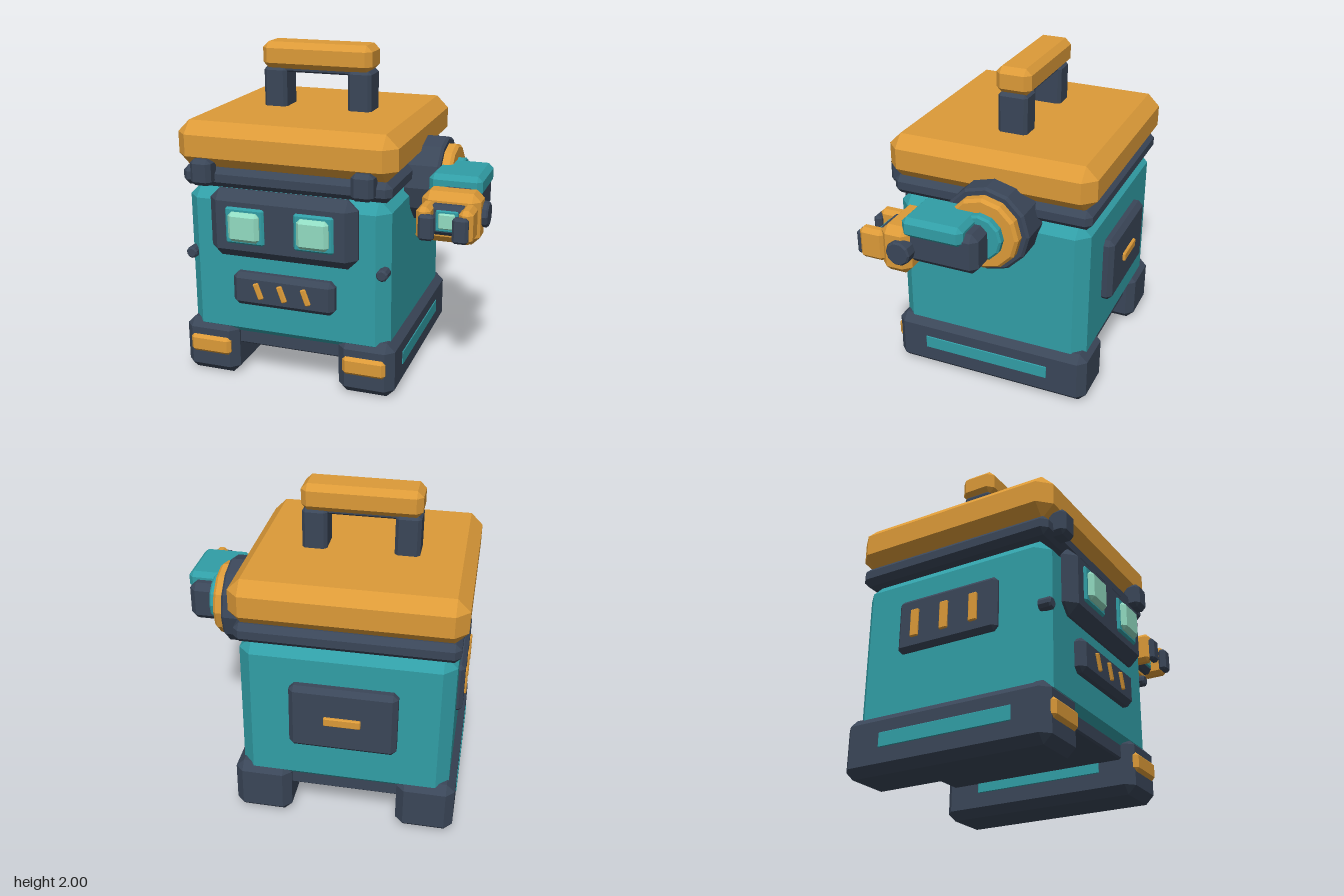
import * as THREE from 'three';
import { ConvexGeometry } from 'three/addons/geometries/ConvexGeometry.js';

const flat = (name, color) => {
  const m = new THREE.MeshStandardMaterial({ color });
  m.name = name;
  return m;
};

// Box with chamfered edges and cut corners
function chamferBox(w, h, d, c) {
  const pts = [];
  const [a, b, e] = [w / 2, h / 2, d / 2];
  for (const x of [-1, 1]) for (const y of [-1, 1]) for (const z of [-1, 1]) {
    pts.push(
      new THREE.Vector3(x * a, y * (b - c), z * (e - c)),
      new THREE.Vector3(x * (a - c), y * b, z * (e - c)),
      new THREE.Vector3(x * (a - c), y * (b - c), z * e));
  }
  return new ConvexGeometry(pts);
}

// Faceted disc from y = 0 to y = h with a bevelled outer rim
function bevelDisc(r, h, bevel, sides) {
  const profile = [[0, 0], [r, 0], [r, h - bevel], [r - bevel, h], [0, h]];
  const g = new THREE.LatheGeometry(profile.map(p => new THREE.Vector2(...p)), sides).toNonIndexed();
  g.computeVertexNormals();
  return g;
}

export function createModel() {
  const model = new THREE.Group();
  model.name = 'toolboxRobot';
  const orange = flat('orange', 0xdc9a38);
  const teal = flat('teal', 0x319ea6);
  const dark = flat('darkSlate', 0x3a4658);
  const mint = flat('mintGlow', 0x92dcc2);
  const MID = -0.235; // centre line of the body

  const add = (name, geometry, material, x, y, z, parent = model) => {
    const m = new THREE.Mesh(geometry, material);
    m.name = name;
    m.position.set(x, y, z);
    parent.add(m);
    return m;
  };
  // Box given by its extents on each axis
  const box = (name, mat, [x0, x1], [y0, y1], [z0, z1], c, parent) =>
    add(name, chamferBox(x1 - x0, y1 - y0, z1 - z0, c), mat,
      (x0 + x1) / 2, (y0 + y1) / 2, (z0 + z1) / 2, parent);
  // The same box on both sides of a centre line
  const pair = (name, mat, [x0, x1], y, z, c, mid = MID, parent = model) => {
    box(name + 'Left', mat, [x0, x1], y, z, c, parent);
    box(name + 'Right', mat, [2 * mid - x1, 2 * mid - x0], y, z, c, parent);
  };

  // Body, underside, gasket and lid
  box('body', teal, [-0.87, 0.4], [0.25, 1.21], [-0.64, 0.6], 0.075);
  box('underside', dark, [-0.7, 0.23], [0.2, 0.3], [-0.6, 0.56], 0.01);
  box('gasket', dark, [-0.885, 0.415], [1.21, 1.33], [-0.66, 0.61], 0.035);
  box('lid', orange, [-0.915, 0.445], [1.32, 1.6], [-0.68, 0.637], 0.075);
  pair('latch', dark, [0.195, 0.328], [1.23, 1.39], [0.56, 0.68], 0.025);

  // Carrying handle
  pair('handlePost', dark, [-0.035, 0.115], [1.57, 1.845], [-0.14, 0.047], 0.02);
  box('handleCore', dark, [-0.46, -0.01], [1.815, 1.86], [-0.12, 0.03], 0.01);
  box('handleGrip', orange, [-0.59, 0.12], [1.835, 2], [-0.16, 0.065], 0.037);

  // Skids with toe pads and side stripes
  pair('skid', dark, [0.09, 0.442], [0, 0.345], [-0.67, 0.625], 0.05);
  pair('toePad', orange, [0.13, 0.397], [0.135, 0.25], [0.57, 0.645], 0.02);
  pair('skidStripe', teal, [0.085, 0.447], [0.14, 0.225], [-0.42, 0.415], 0.003);

  // Face panel and eyes
  box('facePanel', dark, [-0.695, 0.225], [0.8, 1.217], [0.54, 0.675], 0.06);
  for (const [side, x] of [['Right', -0.45], ['Left', -0.022]]) {
    box('eyeFrame' + side, teal, [x - 0.122, x + 0.122], [0.903, 1.127], [0.65, 0.69], 0.012);
    box('eyeLens' + side, mint, [x - 0.098, x + 0.098], [0.923, 1.103], [0.66, 0.72], 0.022);
  }

  // Mouth grille with slanted bars
  box('mouthPanel', dark, [-0.557, 0.087], [0.5, 0.707], [0.57, 0.66], 0.03);
  for (const x of [-0.385, -0.235, -0.085]) {
    add('mouthBar', chamferBox(0.036, 0.105, 0.03, 0.006), orange, x, 0.607, 0.657).rotation.z = 0.35;
  }

  // Corner bolts
  for (const s of [-1, 1]) {
    const bolt = bevelDisc(0.036, 0.075, 0.01, 10).rotateX(Math.PI / 2);
    add('cornerBolt', bolt, dark, MID + s * 0.603, 0.785, 0.55);
  }

  // Side vent
  box('ventPanel', dark, [-0.907, -0.82], [0.685, 1.01], [-0.345, 0.31], 0.025);
  for (const z of [-0.222, -0.025, 0.167]) {
    box('ventBar', orange, [-0.92, -0.89], [0.76, 0.93], [z - 0.027, z + 0.027], 0.006);
  }

  // Rear hatch
  box('rearHatch', dark, [-0.555, 0.087], [0.56, 0.98], [-0.703, -0.6], 0.03);
  box('rearHatchPull', orange, [-0.345, -0.125], [0.745, 0.8], [-0.72, -0.68], 0.006);

  // Shoulder: three stacked discs facing sideways
  const arm = new THREE.Group();
  arm.name = 'arm';
  model.add(arm);
  const sideDisc = (name, mat, r, x0, x1, y, z, bevel, sides) =>
    add(name, bevelDisc(r, x1 - x0, bevel, sides).rotateZ(-Math.PI / 2), mat, x0, y, z, arm);
  sideDisc('shoulderHub', dark, 0.267, 0.37, 0.577, 1.19, -0.085, 0.015, 12);
  sideDisc('shoulderRing', orange, 0.225, 0.56, 0.64, 1.19, -0.085, 0.018, 12);
  sideDisc('shoulderCap', teal, 0.143, 0.62, 0.687, 1.19, -0.085, 0.012, 12);

  // Forearm, wrist and gripper
  box('forearm', dark, [0.62, 0.842], [1.03, 1.28], [-0.147, 0.33], 0.04, arm);
  box('forearmGuard', teal, [0.55, 0.865], [1.2, 1.325], [-0.07, 0.31], 0.03, arm);
  box('wrist', orange, [0.54, 0.882], [0.957, 1.257], [0.255, 0.445], 0.045, arm);
  sideDisc('wristKnob', dark, 0.076, 0.84, 0.916, 1.117, 0.308, 0.01, 10);
  box('palm', dark, [0.6, 0.82], [1.02, 1.2], [0.4, 0.495], 0.025, arm);
  box('palmLightFrame', teal, [0.645, 0.775], [1.05, 1.175], [0.47, 0.505], 0.006, arm);
  box('palmLight', mint, [0.662, 0.758], [1.067, 1.16], [0.48, 0.517], 0.008, arm);
  pair('finger', orange, [0.79, 0.872], [1.01, 1.207], [0.42, 0.585], 0.025, 0.71, arm);
  pair('fingertip', dark, [0.762, 0.852], [1.022, 1.172], [0.56, 0.612], 0.015, 0.71, arm);

  return model;
}
